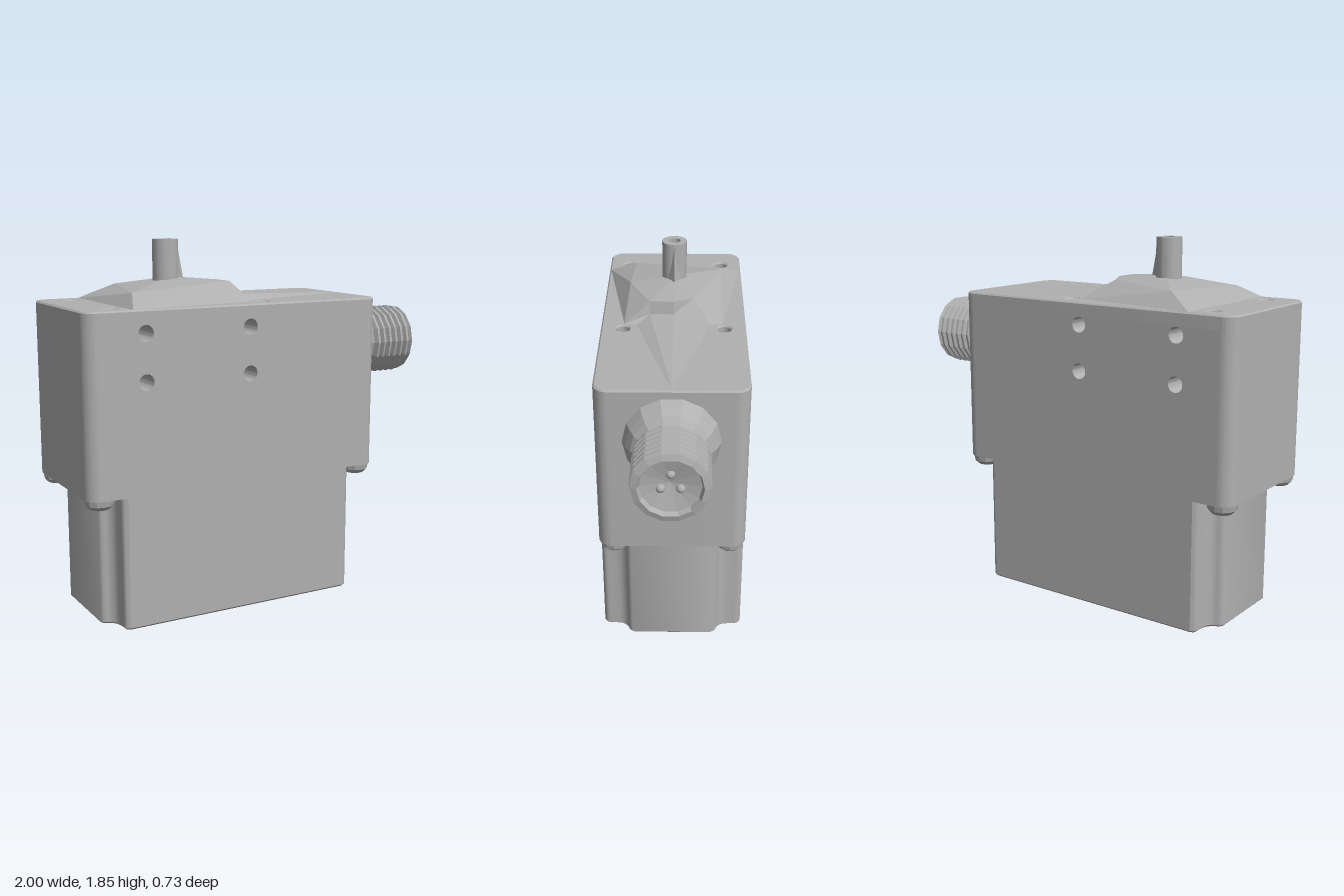
import * as THREE from 'three';
import { toCreasedNormals } from 'three/addons/utils/BufferGeometryUtils.js';

const CX = -0.1925; // middle of the housing along x
const HALF_Z = 0.365;

export function createModel() {
  const model = new THREE.Group();
  const grey = new THREE.MeshStandardMaterial({ color: 0xb0b0b0 });
  grey.name = 'housing grey';

  function add(name, geometry) {
    const mesh = new THREE.Mesh(geometry, grey);
    mesh.name = name;
    model.add(mesh);
    return mesh;
  }

  function circle(x, y, r) {
    return new THREE.Path().absarc(x, y, r, 0, Math.PI * 2, true);
  }

  // Extrude a plan shape upward from y0 to y1, optionally with chamfered ends
  function extrudeY(shape, y0, y1, bevel = 0) {
    const g = new THREE.ExtrudeGeometry(shape, {
      depth: y1 - y0 - 2 * bevel, curveSegments: 20, bevelEnabled: bevel > 0,
      bevelSize: bevel, bevelThickness: bevel, bevelOffset: -bevel, bevelSegments: 1,
    });
    g.translate(0, 0, bevel);
    g.rotateX(-Math.PI / 2);
    g.translate(0, y0, 0);
    return toCreasedNormals(g, 0.5);
  }

  function faceted(g) {
    const flat = g.index ? g.toNonIndexed() : g;
    flat.computeVertexNormals();
    return flat;
  }

  // Triangles between named points
  function facets(points, faces) {
    const pos = [];
    for (const face of faces.split(' ')) for (const key of face) pos.push(...points[key]);
    const g = new THREE.BufferGeometry();
    g.setAttribute('position', new THREE.Float32BufferAttribute(pos, 3));
    return faceted(g);
  }

  // Upper housing core with four cross holes
  const x0 = -1, x1 = 0.615, r = 0.07, yLow = 0.66, ySlab = 1.48, yTop = 1.545;
  const core = new THREE.Shape();
  core.moveTo(x0 + r, yLow).lineTo(x1 - r, yLow).lineTo(x1 - r, ySlab).lineTo(x0 + r, ySlab).closePath();
  for (const x of [-0.7, -0.145]) for (const y of [1.205, 1.435]) core.holes.push(circle(x, y, 0.039));
  const coreGeo = new THREE.ExtrudeGeometry(core, { depth: 2 * HALF_Z, bevelEnabled: false, curveSegments: 16 });
  coreGeo.translate(0, 0, -HALF_Z);
  add('upperHousing', toCreasedNormals(coreGeo, 0.5));

  // Rounded ends of the upper housing
  for (const [name, x, s] of [['rightEnd', x0, -1], ['leftEnd', x1, 1]]) {
    const inner = x - s * r, b = HALF_Z - r;
    const end = new THREE.Shape();
    end.moveTo(inner, -HALF_Z);
    end.absarc(inner, -b, r, -Math.PI / 2, s > 0 ? 0 : -Math.PI, s < 0);
    end.lineTo(x, b);
    end.absarc(inner, b, r, s > 0 ? 0 : Math.PI, Math.PI / 2, s < 0);
    end.closePath();
    add(name, extrudeY(end, yLow, ySlab));
  }

  // Top plate with four blind holes
  const plate = new THREE.Shape();
  const b = HALF_Z - r;
  plate.moveTo(x0 + r, -HALF_Z);
  plate.absarc(x1 - r, -b, r, -Math.PI / 2, 0, false);
  plate.absarc(x1 - r, b, r, 0, Math.PI / 2, false);
  plate.absarc(x0 + r, b, r, Math.PI / 2, Math.PI, false);
  plate.absarc(x0 + r, -b, r, Math.PI, Math.PI * 1.5, false);
  for (const x of [-0.83, -0.02]) for (const z of [-0.255, 0.255]) plate.holes.push(circle(x, z, 0.034));
  add('topPlate', extrudeY(plate, ySlab - 0.012, yTop, 0.008));

  // Lower housing: one corner profile, mirrored into all four corners
  const corner = new THREE.CatmullRomCurve3([
    [0.715, 0.2], [0.7, 0.225], [0.672, 0.238], [0.65, 0.265],
    [0.642, 0.31], [0.637, 0.35], [0.615, 0.365],
  ].map(([x, z]) => new THREE.Vector3(x, z, 0))).getPoints(18);
  const outline = [];
  for (const [sx, sz] of [[1, 1], [-1, 1], [-1, -1], [1, -1]]) {
    const pts = corner.map(p => new THREE.Vector2(-0.19 + sx * p.x, sz * p.y));
    outline.push(...(sx * sz > 0 ? pts : pts.reverse()));
  }
  add('lowerHousing', extrudeY(new THREE.Shape(outline), 0, yLow + 0.02, 0.01));

  // Socket screws below the upper housing
  const screwProfile = [[0, -0.025], [0.033, -0.025], [0.033, -0.05], [0.05, -0.05], [0.07, -0.03], [0.076, 0]]
    .map(p => new THREE.Vector2(...p));
  for (const sx of [-1, 1]) for (const z of [-0.288, 0.288]) {
    const screw = add('screwHead', faceted(new THREE.LatheGeometry(screwProfile, 12)));
    screw.position.set(CX + sx * 0.73, yLow, z);
  }

  // Threaded connector on the left end
  const profile = [[0.235, 0.61], [0.215, 0.66], [0.192, 0.7], [0.152, 0.735], [0.16, 0.75]];
  for (let i = 0; i < 6; i++) {
    const x = 0.755 + i * 0.038;
    profile.push([0.184, x + 0.008], [0.184, x + 0.02], [0.163, x + 0.03], [0.163, x + 0.036]);
  }
  profile.push([0.18, 0.992], [0.15, 1.0], [0.14, 0.975], [0, 0.945]);
  const connector = new THREE.LatheGeometry(profile.map(p => new THREE.Vector2(...p)), 14);
  connector.rotateZ(-Math.PI / 2);
  add('connector', faceted(connector)).position.set(0, 1.275, 0);
  for (const [y, z] of [[1.325, 0], [1.25, 0.045], [1.25, -0.045]]) {
    add('contactPin', new THREE.SphereGeometry(0.022, 12, 8)).position.set(0.955, y, z);
  }

  // Faceted cable hump on the top plate
  const yb = yTop - 0.001;
  add('cableHump', facets({
    B: [-0.76, yb, 0.36], D: [-0.07, yb, 0.25], P: [-0.06, yb, 0.19], K: [0.6, yb + 0.003, 0],
    Q: [-0.06, yb, -0.19], E: [-0.07, yb, -0.25], A: [-0.76, yb, -0.36],
    C: [-0.7, 1.61, 0.21], I: [-0.38, 1.635, 0.23], G: [-0.13, 1.64, 0.12], F: [-0.13, 1.64, 0],
    L: [-0.18, 1.635, -0.1], J: [-0.6, 1.62, -0.25], H: [-0.4, 1.665, 0],
    M: [-0.12, 1.575, 0.12], N: [-0.12, 1.575, 0],
  }, 'BDI BIC DPM DMG DGI PKM MKN MNF MFG NKQ NQL NLF QEL LEJ EAJ ABC ACJ HCI HIG HGF HFL HLJ HJC'));

  // Cable stub with a bore and a sloping web
  const stub = new THREE.Shape().absarc(0, 0, 0.064, 0, Math.PI * 2, false);
  stub.holes.push(circle(0, 0, 0.03));
  add('cableStub', extrudeY(stub, 1.63, 1.85)).position.set(-0.428, 0, 0);
  add('stubWeb', facets({
    T: [-0.366, 1.848, 0], R: [-0.33, 1.655, 0], U: [-0.41, 1.655, 0.062], V: [-0.41, 1.655, -0.062],
  }, 'URT RVT'));

  return model;
}
